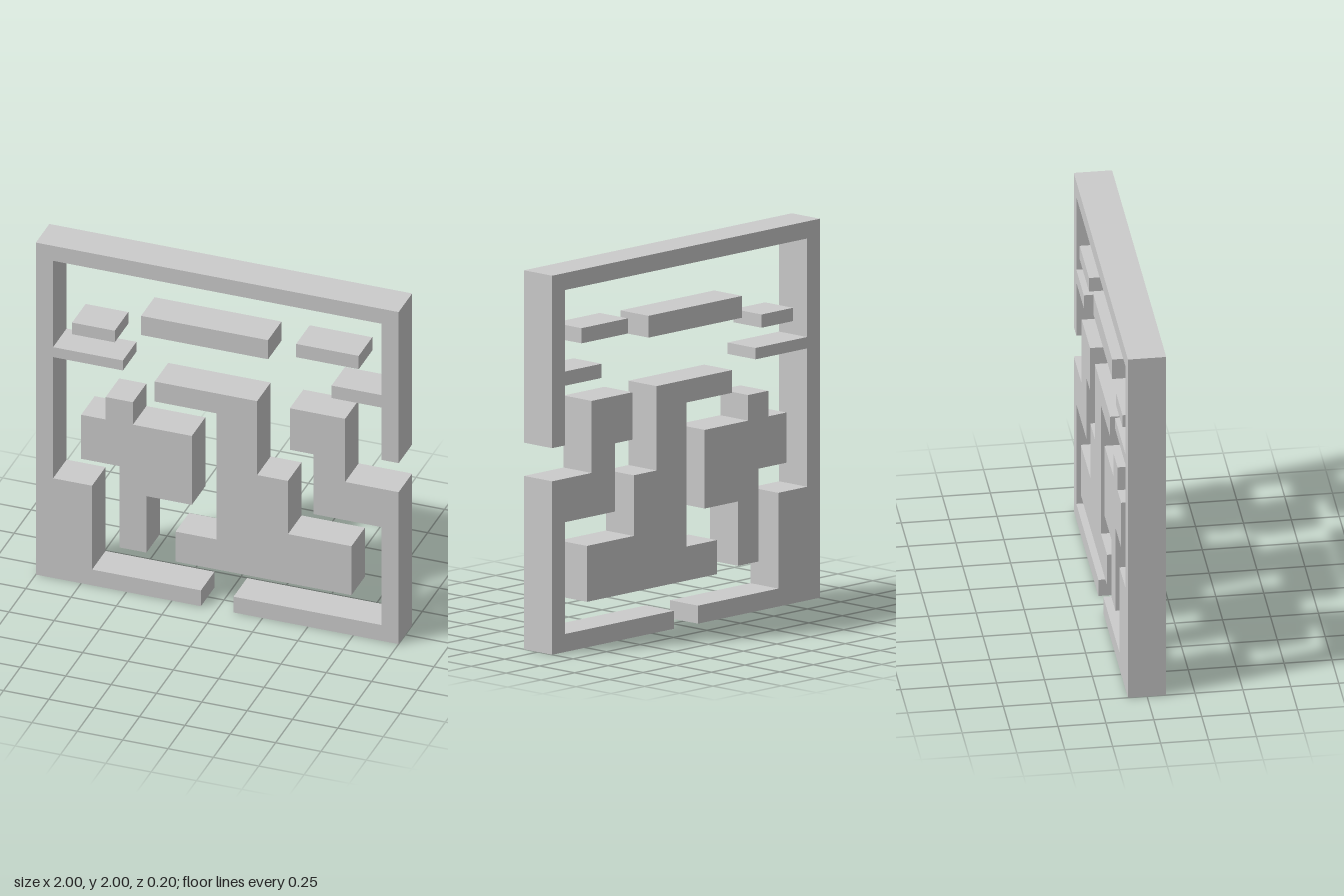
import * as THREE from 'three';

const DEPTH = 0.2;

export function createModel() {
  const model = new THREE.Group();
  const material = new THREE.MeshStandardMaterial({ color: 0xcccccc, flatShading: true });

  // Flat wall slab from an outline in x, y, centred on z = 0
  const addWall = (name, outline) => {
    const shape = new THREE.Shape(outline.map(([x, y]) => new THREE.Vector2(x, y)));
    const geometry = new THREE.ExtrudeGeometry(shape, { depth: DEPTH, bevelEnabled: false });
    geometry.translate(0, 0, -DEPTH / 2);
    const mesh = new THREE.Mesh(geometry, material);
    mesh.name = name;
    model.add(mesh);
  };

  // Free-standing straight bar between two corners
  const addBar = (name, x0, x1, y0, y1) => {
    const mesh = new THREE.Mesh(new THREE.BoxGeometry(x1 - x0, y1 - y0, DEPTH), material);
    mesh.position.set((x0 + x1) / 2, (y0 + y1) / 2, 0);
    mesh.name = name;
    model.add(mesh);
  };

  // Outer frame: bottom right corner block, side ledges and top
  addWall('outerFrame', [
    [-1, 0], [-0.09, 0], [-0.09, 0.095], [-0.69, 0.095], [-0.69, 0.6], [-0.905, 0.6],
    [-0.905, 1.33], [-0.52, 1.33], [-0.52, 1.39], [-0.905, 1.39], [-0.905, 1.91],
    [0.905, 1.91], [0.905, 1.48], [0.63, 1.48], [0.63, 1.405], [0.905, 1.405],
    [0.905, 1.09], [1, 1.09], [1, 2], [-1, 2],
  ]);

  // Lower left frame with its stepped inner wall
  addWall('lowerLeftFrame', [
    [0.09, 0], [1, 0], [1, 0.915], [0.705, 0.915], [0.705, 1.295], [0.4, 1.295],
    [0.4, 1.045], [0.53, 1.045], [0.53, 0.685], [0.905, 0.685], [0.905, 0.095], [0.09, 0.095],
  ]);

  // Stepped block in the centre
  addWall('centreBlock', [
    [-0.23, 0.24], [0.74, 0.24], [0.74, 0.535], [0.39, 0.535], [0.39, 0.855], [0.22, 0.855],
    [0.22, 1.3], [-0.345, 1.3], [-0.345, 1.18], [-0.003, 1.18], [-0.003, 0.42], [-0.23, 0.42],
  ]);

  // Cross-shaped block
  addWall('crossBlock', [
    [-0.54, 0.26], [-0.39, 0.26], [-0.39, 0.6], [-0.14, 0.6], [-0.14, 1.015], [-0.465, 1.015],
    [-0.465, 1.15], [-0.615, 1.15], [-0.615, 1.015], [-0.75, 1.015], [-0.75, 0.75], [-0.54, 0.75],
  ]);

  // Floating bars near the top
  addBar('longBar', -0.42, 0.28, 1.565, 1.68);
  addBar('leftBar', 0.435, 0.78, 1.61, 1.69);
  addBar('rightBar', -0.8, -0.565, 1.49, 1.56);

  return model;
}
